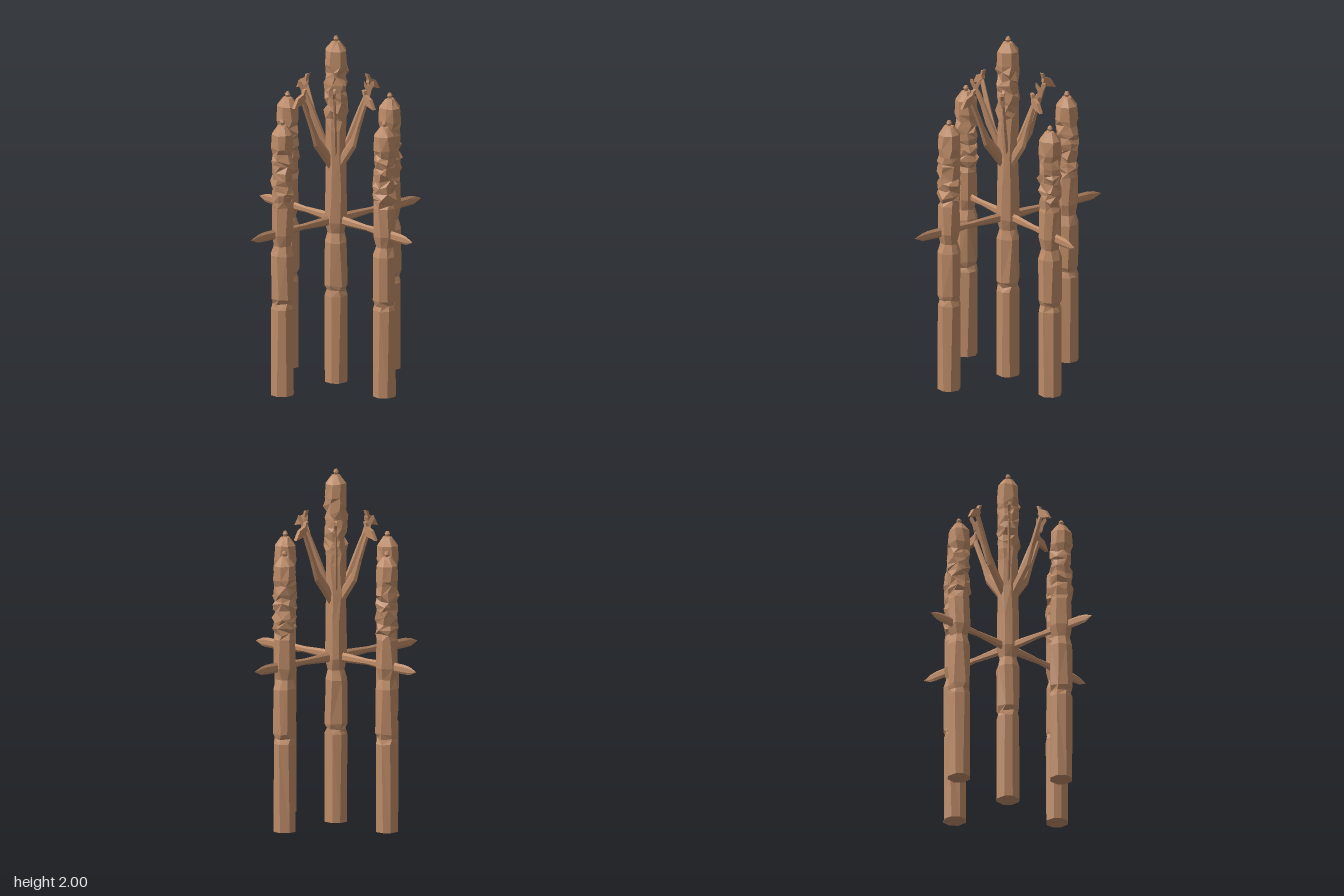
import * as THREE from 'three';

const SIDES = 8;

// Small seeded random, so every build is identical
function makeRandom(seed) {
  let s = seed;
  return () => {
    s = (s * 16807) % 2147483647;
    return s / 2147483647;
  };
}

// Skin a stack of closed rings (arrays of Vector3) and cap both ends
function loft(rings) {
  const out = [];
  const tri = (...pts) => pts.forEach((p) => out.push(p.x, p.y, p.z));
  const n = rings[0].length;
  for (let i = 0; i < rings.length - 1; i++) {
    for (let j = 0; j < n; j++) {
      const k = (j + 1) % n;
      const a = rings[i][j], b = rings[i][k], c = rings[i + 1][j], d = rings[i + 1][k];
      if ((i + j) % 2) {
        tri(a, c, b);
        tri(b, c, d);
      } else {
        tri(a, c, d);
        tri(a, d, b);
      }
    }
  }
  const first = rings[0], last = rings[rings.length - 1];
  for (let j = 1; j < n - 1; j++) {
    tri(first[0], first[j], first[j + 1]);
    tri(last[0], last[j + 1], last[j]);
  }
  const geo = new THREE.BufferGeometry();
  geo.setAttribute('position', new THREE.Float32BufferAttribute(out, 3));
  geo.computeVertexNormals();
  return geo;
}

// Carved post; rows are [height, radius, roughness]
function postGeometry(rows, seed) {
  const rnd = makeRandom(seed);
  for (let i = 0; i < 5; i++) rnd();
  return loft(rows.map(([y, r, rough]) => {
    const ring = [];
    for (let j = 0; j < SIDES; j++) {
      const a = ((j + 0.5 + (rnd() - 0.5) * (0.25 + rough)) / SIDES) * Math.PI * 2;
      const rr = r * (1 + (rnd() - 0.5) * rough * 0.55);
      const yy = y + (rnd() - 0.5) * rough * 0.06;
      ring.push(new THREE.Vector3(Math.cos(a) * rr, yy, Math.sin(a) * rr));
    }
    return ring;
  }));
}

// Flat limb in the xy plane; rows are [outerX, outerY, innerX, innerY, halfThickness]
function limbGeometry(rows) {
  return loft(rows.map(([ox, oy, ix, iy, w]) => {
    const ring = [];
    for (let j = 0; j < 6; j++) {
      const a = (j / 6) * Math.PI * 2;
      const t = (1 + Math.cos(a)) / 2;
      ring.push(new THREE.Vector3(ix + (ox - ix) * t, iy + (oy - iy) * t, Math.sin(a) * w));
    }
    return ring;
  }));
}

// Flat tip cut from an outline
function plateGeometry(points, depth) {
  const shape = new THREE.Shape(points.map(([x, y]) => new THREE.Vector2(x, y)));
  const geo = new THREE.ExtrudeGeometry(shape, { depth, bevelEnabled: false });
  return geo.translate(0, 0, -depth / 2);
}

// Squared lower shaft with a nicked joint and a narrow neck, shared by all posts
const shaft = [
  [0, 0.066, 0], [0.5, 0.066, 0.05], [0.53, 0.057, 0.25], [0.56, 0.066, 0.2],
  [0.81, 0.067, 0.1], [0.865, 0.05, 0.05], [0.93, 0.065, 0.1],
];

// Rough carving between two heights
function carving(from, to, count) {
  const rows = [];
  for (let i = 0; i < count; i++) {
    rows.push([from + ((to - from) * i) / (count - 1), i % 2 ? 0.066 : 0.059, 0.5]);
  }
  return rows;
}

// Domed cap with a small knob
function cap(top) {
  return [
    [top - 0.08, 0.061, 0.1], [top - 0.033, 0.026, 0.15], [top - 0.03, 0.01, 0],
    [top - 0.015, 0.016, 0.1], [top, 0.008, 0],
  ];
}

export function createModel() {
  const model = new THREE.Group();
  model.name = 'postCluster';
  const wood = new THREE.MeshStandardMaterial({ color: 0xbe8c68, flatShading: true });
  wood.name = 'wood';

  const add = (geo, name, parent = model) => {
    const mesh = new THREE.Mesh(geo, wood);
    mesh.name = name;
    parent.add(mesh);
    return mesh;
  };

  // Tall centre post
  add(postGeometry([
    ...shaft, [1.12, 0.063, 0.1], [1.3, 0.058, 0.15], [1.46, 0.06, 0.15],
    ...carving(1.53, 1.8, 8), [1.84, 0.065, 0.15], ...cap(2),
  ], 77), 'centrePost');

  // Four shorter outer posts, one beam arm and one branch toward each
  const outerRows = [
    ...shaft, [1.09, 0.062, 0.1], ...carving(1.12, 1.39, 9), [1.43, 0.066, 0.15], ...cap(1.59),
  ];
  const arm = limbGeometry([
    [0, 0.91, 0, 0.965, 0.014], [0.1, 0.912, 0.1, 0.965, 0.013], [0.25, 0.922, 0.25, 0.958, 0.012],
    [0.44, 0.908, 0.44, 0.966, 0.012], [0.54, 0.909, 0.54, 0.965, 0.01],
    [0.585, 0.912, 0.585, 0.958, 0.006], [0.635, 0.934, 0.635, 0.937, 0.001],
  ]);
  const branch = limbGeometry([
    [0.03, 1.21, 0.03, 1.31, 0.016], [0.07, 1.26, 0.06, 1.35, 0.017],
    [0.165, 1.385, 0.125, 1.43, 0.016], [0.2, 1.5, 0.165, 1.51, 0.014],
    [0.245, 1.615, 0.215, 1.63, 0.012], [0.265, 1.665, 0.24, 1.69, 0.01],
  ]);
  const branchTip = plateGeometry([
    [0.225, 1.735], [0.238, 1.7], [0.235, 1.68], [0.26, 1.652], [0.32, 1.637],
    [0.29, 1.69], [0.25, 1.708], [0.243, 1.73],
  ], 0.022);

  // Slim forked branches on the diagonals
  const twig = limbGeometry([
    [0.03, 1.27, 0.03, 1.35, 0.01], [0.075, 1.36, 0.06, 1.42, 0.011],
    [0.125, 1.47, 0.09, 1.5, 0.01], [0.155, 1.58, 0.125, 1.59, 0.009],
    [0.188, 1.66, 0.16, 1.67, 0.008],
  ]);
  const twigTip = plateGeometry([
    [0.16, 1.655], [0.19, 1.65], [0.198, 1.69], [0.214, 1.72], [0.212, 1.737],
    [0.198, 1.732], [0.183, 1.705], [0.167, 1.725], [0.157, 1.737], [0.156, 1.715], [0.169, 1.685],
  ], 0.014);

  for (let i = 0; i < 4; i++) {
    const side = new THREE.Group();
    side.name = 'side' + (i + 1);
    side.rotation.y = (i * Math.PI) / 2;
    model.add(side);
    add(postGeometry(outerRows, 1234 + i * 811), 'outerPost', side).position.x = 0.403;
    add(arm, 'beamArm', side);
    add(branch, 'branch', side);
    add(branchTip, 'branchTip', side);

    const diagonal = new THREE.Group();
    diagonal.name = 'diagonal' + (i + 1);
    diagonal.rotation.y = (i + 0.5) * Math.PI / 2;
    model.add(diagonal);
    add(twig, 'forkedBranch', diagonal);
    add(twigTip, 'forkTip', diagonal);
  }
  return model;
}
